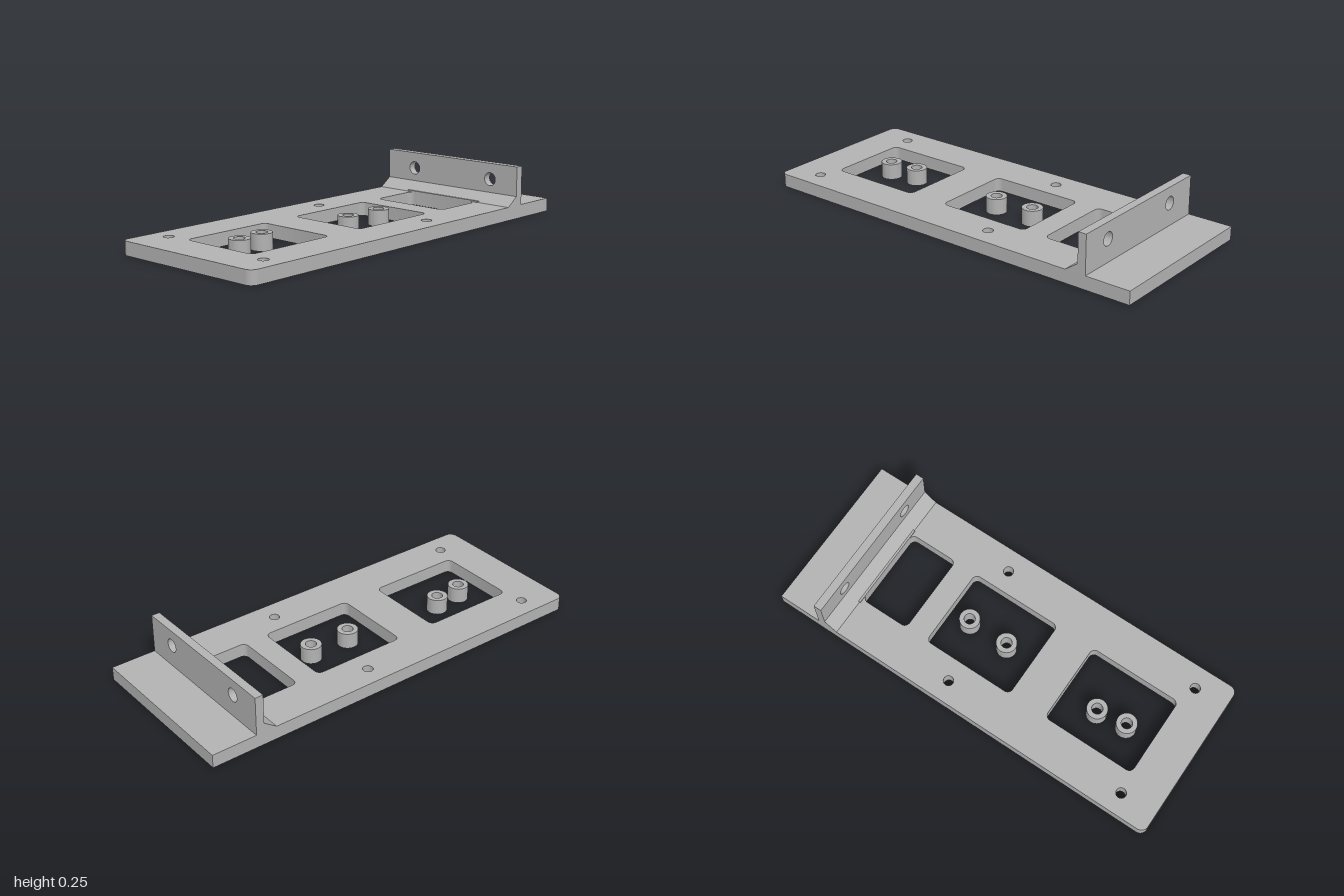
import * as THREE from 'three';
import { toCreasedNormals } from 'three/addons/utils/BufferGeometryUtils.js';

const T = 0.064; // plate thickness

function circlePath(x, y, r, Type = THREE.Path) {
  return new Type().absarc(x, y, r, 0, Math.PI * 2, Type === THREE.Path);
}

// Rectangle with separate corner radii on the low-x and high-x sides
function roundedRect(x0, x1, y0, y1, rLow, rHigh, Type = THREE.Path) {
  const p = new Type();
  p.moveTo(x0 + rLow, y0);
  p.lineTo(x1 - rHigh, y0);
  if (rHigh) p.absarc(x1 - rHigh, y0 + rHigh, rHigh, -Math.PI / 2, 0);
  p.lineTo(x1, y1 - rHigh);
  if (rHigh) p.absarc(x1 - rHigh, y1 - rHigh, rHigh, 0, Math.PI / 2);
  p.lineTo(x0 + rLow, y1);
  if (rLow) p.absarc(x0 + rLow, y1 - rLow, rLow, Math.PI / 2, Math.PI);
  p.lineTo(x0, y0 + rLow);
  if (rLow) p.absarc(x0 + rLow, y0 + rLow, rLow, Math.PI, Math.PI * 1.5);
  return p;
}

function extrude(shape, depth) {
  return new THREE.ExtrudeGeometry(shape, { depth, bevelEnabled: false, curveSegments: 16 });
}

export function createModel() {
  const group = new THREE.Group();
  const metal = new THREE.MeshStandardMaterial({ color: 0xb2b2b2 });
  metal.name = 'grey metal';

  const add = (name, geometry) => {
    const mesh = new THREE.Mesh(toCreasedNormals(geometry, 0.6), metal);
    mesh.name = name;
    group.add(mesh);
    return mesh;
  };

  // Base plate with three windows and four screw holes (shape y is -z)
  const plate = roundedRect(-1, 1, -0.4, 0.4, 0.035, 0, THREE.Shape);
  for (const [x0, x1] of [[-0.807, -0.345], [-0.15, 0.312], [0.427, 0.675]]) {
    plate.holes.push(roundedRect(x0, x1, -0.2, 0.2, 0.027, 0.027));
  }
  for (const [x, z] of [[-0.82, -0.303], [0.116, -0.303], [-0.837, 0.299], [0.192, 0.299]]) {
    plate.holes.push(circlePath(x, -z, 0.024));
  }
  add('basePlate', extrude(plate, T).rotateX(-Math.PI / 2));

  // Hollow standoffs inside the windows
  for (const [x, z] of [[-0.669, -0.02], [-0.521, -0.037], [-0.003, -0.005], [0.205, -0.003]]) {
    const ring = circlePath(x, -z, 0.049, THREE.Shape);
    ring.holes.push(circlePath(x, -z, 0.026));
    add('standoff', extrude(ring, 0.076).rotateX(-Math.PI / 2));
  }

  // Upright flange with two holes (shape x is -z)
  const flange = new THREE.Shape();
  flange.moveTo(-0.4, T).lineTo(0.4, T).lineTo(0.4, 0.251).lineTo(-0.4, 0.251).closePath();
  for (const z of [0.241, -0.232]) flange.holes.push(circlePath(-z, 0.173, 0.032));
  add('uprightFlange', extrude(flange, 0.04).rotateY(Math.PI / 2)).position.x = 0.742;

  // Sloped fillet bracing the flange
  const fillet = new THREE.Shape();
  fillet.moveTo(0.68, T).lineTo(0.742, T).lineTo(0.742, 0.108).closePath();
  add('flangeFillet', extrude(fillet, 0.8)).position.z = -0.4;

  // Thin lip along the foot of the fillet
  add('filletLip', new THREE.BoxGeometry(0.01, 0.008, 0.44)).position.set(0.68, T + 0.003, 0);

  return group;
}
